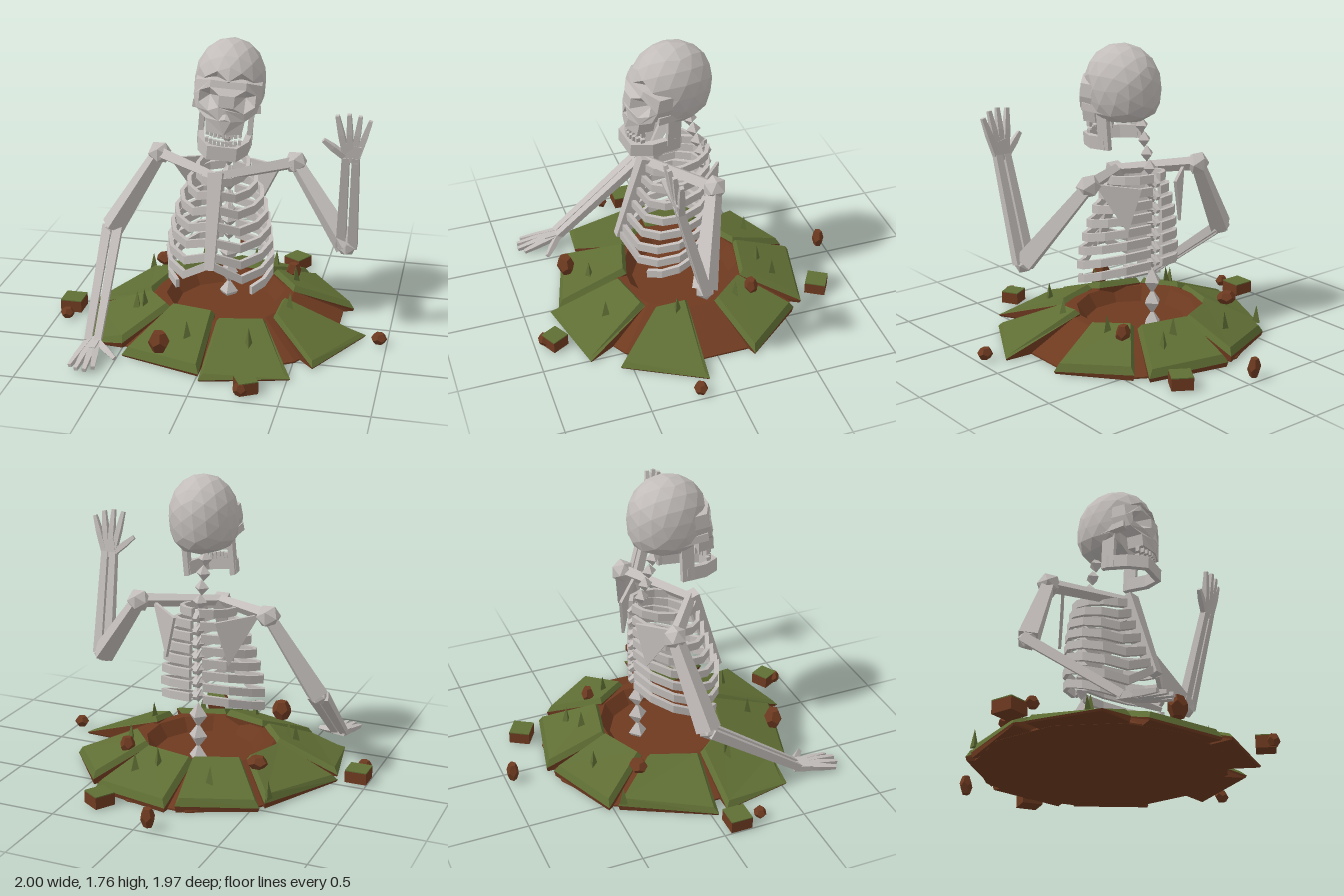
import * as THREE from 'three';

const mat = (name, color, side = THREE.FrontSide) =>
  Object.assign(new THREE.MeshStandardMaterial({ color, flatShading: true, side }), { name });
const V = (x, y, z) => new THREE.Vector3(x, y, z);
const UP = V(0, 1, 0);
const CX = -0.013; // centre line of the torso

export function createModel() {
  const bone = mat('bone', 0xc2bdba, THREE.DoubleSide);
  const soil = mat('soil', 0x6e3a20);
  const grass = mat('grass', 0x5f6e34);
  const model = new THREE.Group();

  const group = (name, parent = model) => {
    const g = new THREE.Group();
    g.name = name;
    parent.add(g);
    return g;
  };
  const add = (parent, name, geo, material, p = V(0, 0, 0)) => {
    const m = new THREE.Mesh(geo, material);
    m.name = name;
    m.position.copy(p);
    parent.add(m);
    return m;
  };

  // Closed solid through equal-length rings of points, faces turned outward
  const loft = (rings) => {
    const n = rings[0].length, pts = rings.flat(), idx = [];
    for (let r = 0; r < rings.length - 1; r++)
      for (let i = 0; i < n; i++) {
        const a = r * n + i, b = r * n + (i + 1) % n;
        idx.push(a, b, a + n, b, b + n, a + n);
      }
    const e = (rings.length - 1) * n;
    for (let i = 1; i < n - 1; i++) idx.push(0, i + 1, i, e, e + i, e + i + 1);
    let vol = 0;
    const o = pts[0];
    for (let i = 0; i < idx.length; i += 3) {
      const [a, b, c] = [0, 1, 2].map((k) => pts[idx[i + k]].clone().sub(o));
      vol += a.dot(b.cross(c));
    }
    if (vol < 0) idx.reverse();
    const geo = new THREE.BufferGeometry().setFromPoints(pts);
    geo.setIndex(idx);
    const flat = geo.toNonIndexed();
    flat.computeVertexNormals();
    return flat;
  };
  // Flat upright band along a path
  const ribbon = (pts, height, thick) => loft(pts.map((p, i) => {
    const t = pts[Math.min(i + 1, pts.length - 1)].clone().sub(pts[Math.max(i - 1, 0)]);
    const n = V(-t.z, 0, t.x).normalize().multiplyScalar(thick / 2);
    const h = V(0, height / 2, 0);
    return [p.clone().add(n).add(h), p.clone().sub(n).add(h), p.clone().sub(n).sub(h), p.clone().add(n).sub(h)];
  }));
  // Square tapered bone from a to b
  const bar = (parent, name, a, b, wa, wb) => {
    const d = b.clone().sub(a);
    const geo = new THREE.CylinderGeometry(wb * 0.707, wa * 0.707, d.length(), 4).rotateY(Math.PI / 4);
    const m = add(parent, name, geo, bone, a.clone().add(b).multiplyScalar(0.5));
    m.quaternion.setFromUnitVectors(UP, d.normalize());
    return m;
  };

  // Soil mound with a pit
  const ground = group('ground');
  const profile = [[0, 0], [0.72, 0], [0.72, 0.01], [0.42, 0.16], [0.36, 0.16], [0.3, 0.08], [0, 0.08]];
  add(ground, 'soilMound', new THREE.LatheGeometry(profile.map((p) => new THREE.Vector2(...p)), 12, Math.PI / 12), soil);

  // Cracked slabs, turf on a soil body: outer corners, then inner corners (x, z)
  const slabs = [
    [[-0.07, -0.75], [0.42, -0.64], [0.235, -0.305], [-0.085, -0.375]],
    [[-0.12, -0.72], [-0.555, -0.53], [-0.33, -0.24], [-0.07, -0.37]],
    [[-0.565, -0.48], [-0.83, 0.04], [-0.44, 0.09], [-0.35, -0.21]],
    [[-0.81, 0.1], [-0.72, 0.53], [-0.5, 0.55], [-0.27, 0.29], [-0.42, 0.1]],
    [[-0.475, 0.645], [0.01, 0.785], [0.01, 0.35], [-0.26, 0.28]],
    [[0.02, 0.84], [0.52, 0.72], [0.3, 0.32], [0.03, 0.4]],
    [[0.62, 0.57], [0.87, 0.11], [0.36, 0.08], [0.34, 0.27]],
    [[0.76, -0.21], [0.47, -0.57], [0.24, -0.28], [0.4, -0.08]],
  ];
  const slope = (x, z) => THREE.MathUtils.clamp(0.02 + 0.38 * (0.87 - Math.hypot(x, z)), 0.02, 0.21);
  for (const s of slabs) {
    const c = [0, 1].map((k) => s.reduce((t, p) => t + p[k], 0) / s.length);
    const ring = (inset, height) => s.map(([x, z]) => {
      const px = c[0] + (x - c[0]) * inset, pz = c[1] + (z - c[1]) * inset;
      return V(px, height(px, pz), pz);
    });
    const rim = ring(1, (x, z) => Math.max(slope(x, z) - 0.035, 0.012));
    add(ground, 'slabSoil', loft([ring(0.97, () => 0.001), rim]), soil);
    add(ground, 'slabTurf', loft([rim, ring(0.89, slope)]), grass);
  }

  // Grass blades
  const blades = [[-0.25, -0.515], [0.1, -0.465], [0.22, -0.52], [0.39, -0.22], [0.42, 0.16],
    [0.25, 0.55], [-0.11, 0.555], [-0.485, 0.255], [-0.445, 0.25], [-0.575, -0.45]];
  blades.forEach(([x, z], i) => {
    const m = add(ground, 'grassBlade', new THREE.ConeGeometry(0.028, 0.11, 3), grass, V(x, slope(x, z) + 0.035, z));
    m.rotation.y = i * 1.3;
  });

  // Loose rocks: x, y, z, width, height
  const rocks = [[-0.455, 0.2, -0.31, 0.12, 0.08], [0.36, 0.18, -0.33, 0.09, 0.12], [-0.245, 0.135, 0.67, 0.12, 0.14],
    [-0.07, 0.07, -0.96, 0.08, 0.13], [-0.93, 0.04, 0.25, 0.08, 0.07], [0.955, 0.045, 0.195, 0.09, 0.075],
    [0.28, 0.045, 0.94, 0.08, 0.08]];
  rocks.forEach(([x, y, z, w, h], i) => {
    const geo = new THREE.DodecahedronGeometry(0.53, 0).rotateX(0.6).rotateY(i * 1.1).scale(w, h, w * 0.85);
    add(ground, 'rock', geo, soil, V(x, y, z));
  });

  // Clods of earth with a turf top
  for (const [x, z, size, turn] of [[0.315, -0.785, 0.125, -0.55], [-0.935, 0.105, 0.13, 0], [0.3, 0.88, 0.11, 0.5]]) {
    const clod = group('clod', ground);
    clod.position.set(x, 0, z);
    clod.rotation.y = turn;
    add(clod, 'clodEarth', new THREE.BoxGeometry(size, 0.07, size), soil, V(0, 0.04, 0));
    add(clod, 'clodTurf', new THREE.BoxGeometry(size, 0.006, size), grass, V(0, 0.078, 0));
  }

  // Spine: spinning-top vertebrae, thicker toward the bottom
  const spine = group('spine');
  const spineZ = (y) => (y > 0.95 ? -0.14 + (y - 0.95) * 0.3 : -0.14);
  for (let y = 0.1, i = 0; y < 1.32; i++) {
    const low = y < 0.45, r = low ? 0.058 : 0.045, step = low ? 0.13 : 0.08;
    add(spine, 'vertebra', new THREE.OctahedronGeometry(1).scale(r, step * 0.62, r), bone, V(CX, y, spineZ(y)));
    if (!low && y < 1) bar(spine, 'spinousProcess', V(CX, y + 0.02, -0.13), V(CX, y - 0.01, -0.19), 0.04, 0.025);
    y += step;
  }

  // Sternum and ribs
  const cage = group('ribCage');
  const sternumZ = (y) => 0.2 + (1 - y) * 0.34;
  bar(cage, 'sternum', V(CX, 1, sternumZ(1)), V(CX, 0.47, sternumZ(0.47)), 0.085, 0.055);
  const widths = [0.15, 0.2, 0.24, 0.27, 0.29, 0.305, 0.315, 0.31];
  const ends = [0.95, 0.88, 0.8, 0.71, 0.62, 0.54, 0.49];
  for (const side of [-1, 1])
    widths.forEach((w, i) => {
      const back = 1 - i * 0.075, drop = 0.06 + 0.018 * i;
      const zf = i < 6 ? sternumZ(ends[i]) - 0.01 : 0.35, zb = -0.17;
      const angles = i < 7 ? [0.04, 0.2, 0.36, 0.52, 0.67, 0.82] : [0.04, 0.2, 0.36, 0.52, 0.64, 0.75];
      const pts = angles.map((t) => {
        const c = Math.cos(t * Math.PI);
        return V(CX + side * w * Math.sin(t * Math.PI), back - drop * (1 - c) / 2, (zb + zf) / 2 - c * (zf - zb) / 2);
      });
      if (i < 7) pts.push(V(CX + side * 0.025, ends[i], sternumZ(ends[i])));
      add(cage, 'rib', ribbon(pts, 0.05, 0.024), bone);
    });

  // Collar bones, shoulder blades and shoulders
  const shoulders = { '-1': V(-0.42, 1, -0.07), 1: V(0.4, 1, -0.07) };
  for (const side of [-1, 1]) {
    const s = shoulders[side];
    bar(cage, 'collarBone', V(CX, 0.975, 0.2), s, 0.045, 0.06);
    const blade = [V(CX + side * 0.34, 0.99, -0.03), V(CX + side * 0.13, 0.96, -0.2), V(CX + side * 0.2, 0.7, -0.16)];
    add(cage, 'shoulderBlade', loft([blade, blade.map((p) => p.clone().add(V(-side * 0.01, 0, 0.014)))]), bone);
    add(cage, 'shoulderJoint', new THREE.IcosahedronGeometry(0.073, 0), bone, s);
  }

  // Arms: two forearm bones, wrist block and five digits (last is the thumb)
  const arm = (name, shoulder, elbow, wrist, tips) => {
    const g = group(name);
    bar(g, 'upperArm', shoulder, elbow, 0.065, 0.105);
    add(g, 'elbowJoint', new THREE.IcosahedronGeometry(0.06, 0), bone, elbow);
    for (const d of [-1, 1])
      bar(g, 'forearmBone', elbow.clone().add(V(d * 0.034, 0, 0)), wrist.clone().add(V(d * 0.028, 0, 0)), 0.055, 0.042);
    const dir = tips[1].clone().sub(wrist).normalize();
    const palm = bar(g, 'palm', wrist.clone().addScaledVector(dir, -0.03), wrist.clone().addScaledVector(dir, 0.08), 0.09, 0.095);
    palm.scale.z = 0.4;
    tips.forEach((tip, i) => {
      const root = wrist.clone().add(V(THREE.MathUtils.clamp((tip.x - wrist.x) * 0.35, -0.035, 0.035), 0, 0));
      const mid = root.clone().lerp(tip, 0.55);
      bar(g, i < 4 ? 'finger' : 'thumb', root, mid, 0.034, 0.034);
      bar(g, i < 4 ? 'fingerTip' : 'thumbTip', mid, tip, 0.034, 0.022);
    });
  };
  arm('rightArm', shoulders[-1], V(-0.7, 0.53, 0.02), V(-0.65, 0.07, 0.63),
    [V(-0.715, 0.03, 0.86), V(-0.67, 0.03, 0.89), V(-0.62, 0.03, 0.895), V(-0.58, 0.03, 0.86), V(-0.49, 0.03, 0.73)]);
  arm('leftArm', shoulders[1], V(0.735, 0.57, 0.1), V(0.76, 1.18, 0.26),
    [V(0.865, 1.4, 0.28), V(0.81, 1.43, 0.3), V(0.75, 1.44, 0.31), V(0.685, 1.43, 0.31), V(0.61, 1.28, 0.3)]);

  // Skull: rounded box-like back, flattened behind the face
  const skull = group('skull');
  skull.position.set(0.042, 1.53, 0.07);
  skull.rotation.set(0, 0.14, -0.09);
  const cranium = new THREE.IcosahedronGeometry(1, 2);
  const cp = cranium.attributes.position;
  for (let i = 0; i < cp.count; i++) {
    const y = cp.getY(i), full = y < 0 ? 1 + 0.45 * y * y : 1;
    const z = cp.getZ(i) * full * 0.24;
    cp.setXYZ(i, cp.getX(i) * full * 0.203, y * 0.232, y < 0.1 ? Math.min(z, 0.1) : z);
  }
  cranium.computeVertexNormals();
  add(skull, 'cranium', cranium, bone);

  // Face plate with eye and nose holes, wrapped around the head, brow leaning back
  const wrap = (geo) => {
    const p = geo.attributes.position;
    for (let i = 0; i < p.count; i++)
      p.setZ(i, p.getZ(i) - 2.9 * p.getX(i) ** 2 - 0.3 * Math.max(0, p.getY(i) + 0.05));
    geo.computeVertexNormals();
    return geo;
  };
  const half = [[0.1, 0.045], [0.185, 0.02], [0.19, -0.06], [0.17, -0.13], [0.11, -0.17], [0.1, -0.245]];
  const outline = [[0, 0.05], ...half, [0, -0.25], ...half.map(([x, y]) => [-x, y]).reverse()];
  const face = new THREE.Shape(outline.map((p) => new THREE.Vector2(...p)));
  const eyeR = 0.066;
  for (const side of [-1, 1]) {
    const hole = [0, 1, 2, 3, 4, 5].map((k) => k * Math.PI / 3).map((a) =>
      new THREE.Vector2(side * 0.1 + eyeR * Math.sin(a), -0.06 + eyeR * Math.cos(a)));
    face.holes.push(new THREE.Path(hole));
    const socket = new THREE.ConeGeometry(eyeR, 0.1, 6, 1, true).rotateX(-Math.PI / 2);
    add(skull, 'eyeSocket', wrap(socket.translate(side * 0.1, -0.06, 0.225)), bone);
  }
  face.holes.push(new THREE.Path([[0, -0.105], [0.034, -0.17], [0, -0.16], [-0.034, -0.17]].map((p) => new THREE.Vector2(...p))));
  add(skull, 'face', wrap(new THREE.ExtrudeGeometry(face, { depth: 0.1, bevelEnabled: false }).translate(0, 0, 0.175)), bone);

  // Cheek arches and jaw
  for (const side of [-1, 1]) {
    bar(skull, 'cheekArch', V(side * 0.17, -0.12, 0.16), V(side * 0.155, -0.13, -0.02), 0.045, 0.04);
    add(skull, 'jawBranch', ribbon([V(side * 0.14, -0.26, 0), V(side * 0.14, -0.26, 0.08)], 0.23, 0.03), bone);
  }
  const jaw = [[-0.14, -0.335, 0.03], [-0.125, -0.35, 0.16], [-0.075, -0.36, 0.26],
    [0.075, -0.36, 0.26], [0.125, -0.35, 0.16], [0.14, -0.335, 0.03]].map((p) => V(...p));
  add(skull, 'jaw', ribbon(jaw, 0.08, 0.035), bone);

  // Two rows of teeth
  for (const [y, h] of [[-0.255, 0.04], [-0.312, 0.04]])
    for (let i = -4; i <= 4; i++) {
      const x = i * 0.023;
      add(skull, 'tooth', new THREE.BoxGeometry(0.018, h, 0.025), bone, V(x, y, 0.25 - 5 * x * x));
    }

  return model;
}
